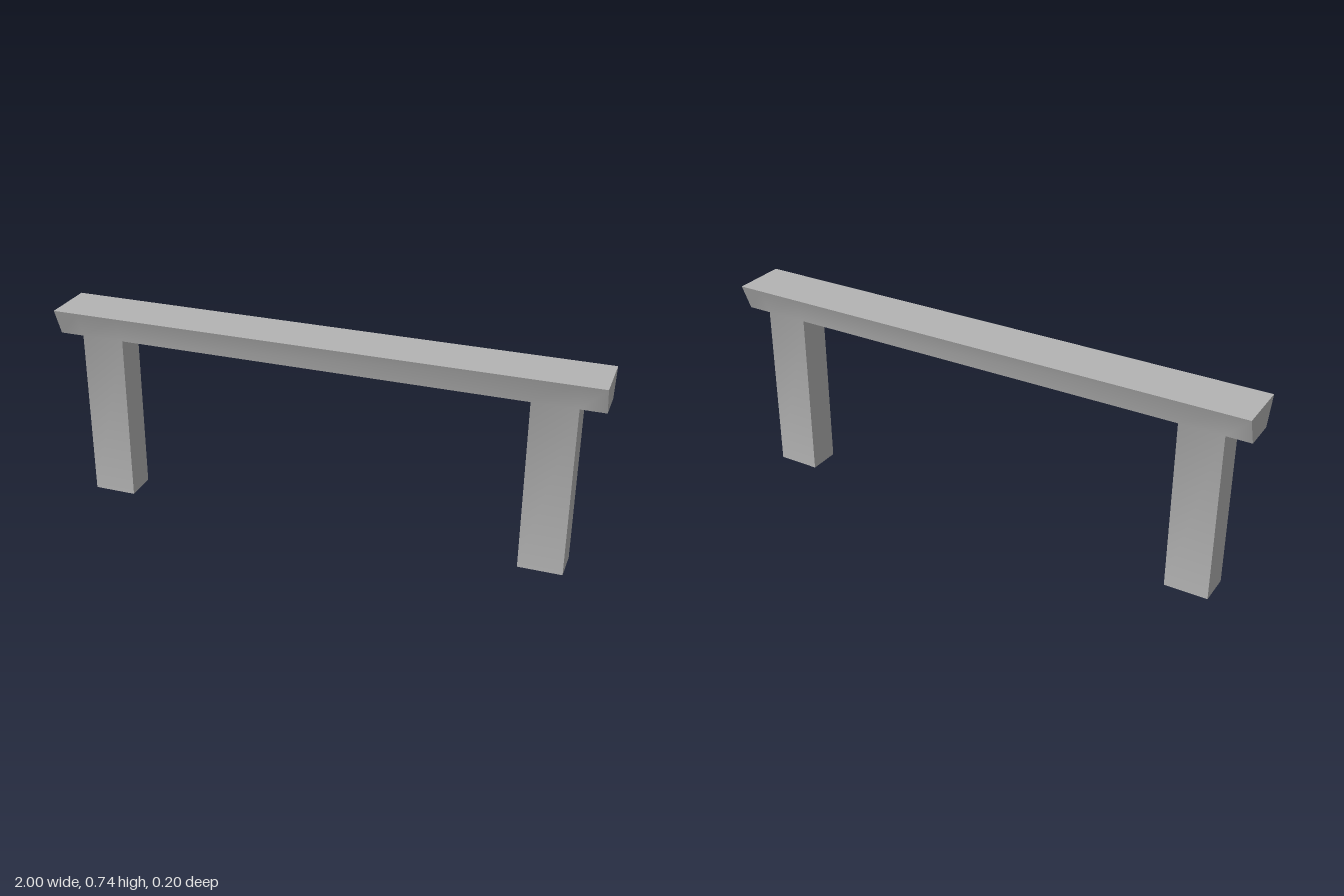
import * as THREE from 'three';
import { mergeGeometries, toCreasedNormals } from 'three/addons/utils/BufferGeometryUtils.js';

const LEG_H = 0.637, TOP = 0.737;
const LEG_IN = 0.75, LEG_OUT = 0.91;
const HALF_BOTTOM = 0.06, HALF_TOP = 0.1;

// Drops the hidden triangles where a leg meets the beam
function removeJoints(geometry) {
  const p = geometry.attributes.position;
  const kept = [];
  for (let i = 0; i < p.count; i += 3) {
    const ids = [i, i + 1, i + 2];
    const atJoint = ids.every((k) => Math.abs(p.getY(k) - LEG_H) < 1e-4);
    const x = Math.abs(ids.reduce((sum, k) => sum + p.getX(k) / 3, 0));
    if (atJoint && x > LEG_IN && x < LEG_OUT) continue;
    for (const k of ids) kept.push(p.getX(k), p.getY(k), p.getZ(k));
  }
  const out = new THREE.BufferGeometry();
  out.setAttribute('position', new THREE.Float32BufferAttribute(kept, 3));
  return out;
}

export function createModel() {
  const group = new THREE.Group();
  group.name = 'bench';
  const grey = new THREE.MeshStandardMaterial({ color: 0xb3b3b3 });
  grey.name = 'grey';

  // Beam: flares towards the top, with columns lined up to the leg edges
  const columns = [-1, -LEG_OUT, -LEG_IN, LEG_IN, LEG_OUT, 1];
  const beam = new THREE.BoxGeometry(5, 2, 2, 5, 1, 1);
  const p = beam.attributes.position;
  for (let i = 0; i < p.count; i++) {
    const up = p.getY(i) > 0;
    p.setXYZ(i,
      columns[Math.round(p.getX(i) + 2.5)],
      up ? TOP : LEG_H,
      Math.sign(p.getZ(i)) * (up ? HALF_TOP : HALF_BOTTOM));
  }

  // Legs: a mirrored pair of square posts
  const legs = [-1, 1].map((side) =>
    new THREE.BoxGeometry(LEG_OUT - LEG_IN, LEG_H, HALF_BOTTOM * 2)
      .translate(side * (LEG_IN + LEG_OUT) / 2, LEG_H / 2, 0));

  // One joined body, softly shaded where the legs run into the flare
  const body = removeJoints(mergeGeometries([beam, ...legs]).toNonIndexed());
  const mesh = new THREE.Mesh(toCreasedNormals(body, Math.PI / 6), grey);
  mesh.name = 'beamAndLegs';
  group.add(mesh);
  return group;
}
